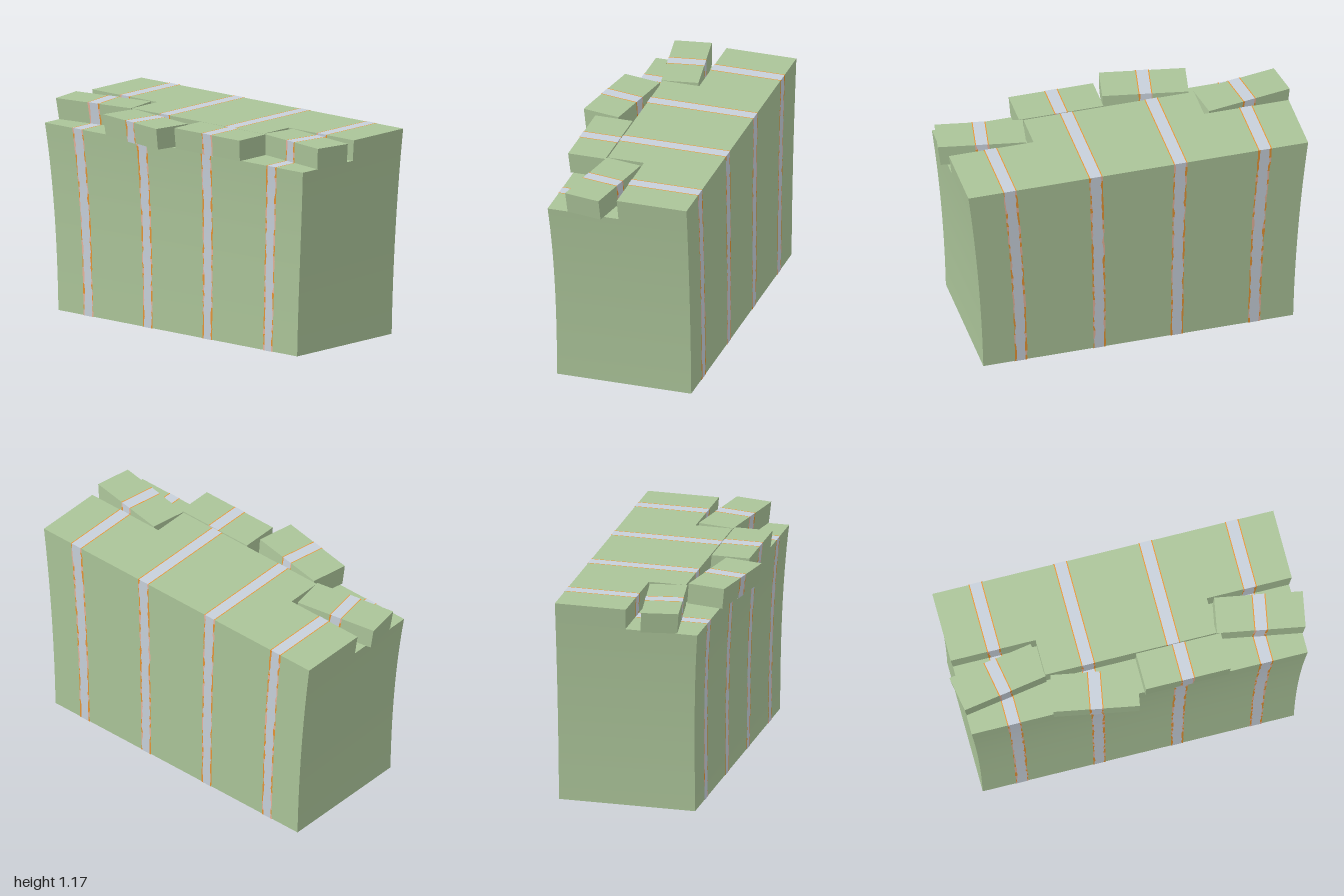
import * as THREE from 'three';
import { mergeVertices } from 'three/addons/utils/BufferGeometryUtils.js';

const TOP = 1.165, LEDGE = 1.047, BACK = -0.46, FRONT = 0.358, HALF = 0.966;
const PAINT = 0.0015; // how far painted bands stand off the surface

// Flare: everything widens towards the top, away from the flat back
function flarePoint(x, y, z) {
  const u = Math.max(0, y) / TOP;
  return [
    x * (0.912 + 0.028 * u + 0.06 * u * u),
    y,
    BACK + (z - BACK) * (0.946 + 0.054 * u * u * u),
  ];
}

function flare(geometry) {
  const p = geometry.attributes.position;
  for (let i = 0; i < p.count; i++) p.setXYZ(i, ...flarePoint(p.getX(i), p.getY(i), p.getZ(i)));
  geometry.computeVertexNormals();
  return geometry;
}

// Small seeded generator for the ragged stripe edges
let seed = 7;
function rand() {
  seed = (seed * 16807) % 2147483647;
  return seed / 2147483647;
}

// Wraps a painted band round a closed (z, y) path: ragged edges on upright faces,
// thin straight ones on top, none underneath.
// place() maps local x, y, z into the unflared model
function stripe(name, path, materials, place) {
  const sets = [[], [], []]; // middle, orange edge, pink edge
  const quad = (set, p, q, n, x0, x1, x2, x3) => {
    const at = (x, s) => flarePoint(...place(x, s[1] + n[1] * PAINT, s[0] + n[0] * PAINT));
    const a = at(x0, p), b = at(x1, p), c = at(x2, q), d = at(x3, q);
    set.push(...a, ...d, ...c, ...a, ...c, ...b);
  };
  path.forEach((start, i) => {
    const end = path[(i + 1) % path.length];
    const dz = end[0] - start[0], dy = end[1] - start[1];
    const length = Math.hypot(dz, dy);
    const n = [-dy / length, dz / length];
    const upright = Math.abs(dy) > Math.abs(dz);
    const underneath = !upright && dz < 0;
    const steps = Math.max(1, Math.round(length / 0.03));
    const edges = () => {
      if (underneath) return [-0.036, -0.036, 0.036, 0.036];
      if (!upright) return [-0.038, -0.0325, 0.0325, 0.038];
      const jitter = (size) => (rand() - 0.5) * size;
      return [-0.0385 + jitter(0.005), -0.029 + jitter(0.01), 0.029 + jitter(0.01), 0.0385 + jitter(0.005)];
    };
    // Ends run on slightly so that neighbouring faces of the band meet
    const point = (k) => {
      const t = k / steps + (k === 0 ? -PAINT : k === steps ? PAINT : 0) / length;
      return [start[0] + dz * t, start[1] + dy * t];
    };
    let e = edges();
    for (let k = 0; k < steps; k++) {
      const p = point(k), q = point(k + 1), f = edges();
      const edgeSet = () => sets[!upright || rand() < 0.62 ? 1 : 2];
      quad(sets[0], p, q, n, e[1], e[2], f[2], f[1]);
      if (!underneath) {
        quad(edgeSet(), p, q, n, e[0], e[1], f[1], f[0]);
        quad(edgeSet(), p, q, n, e[2], e[3], f[3], f[2]);
      }
      e = f;
    }
  });
  const group = new THREE.Group();
  group.name = name;
  ['stripeMiddle', 'stripeOrangeEdge', 'stripePinkEdge'].forEach((part, i) => {
    if (!sets[i].length) return;
    const g = new THREE.BufferGeometry();
    g.setAttribute('position', new THREE.Float32BufferAttribute(sets[i], 3));
    g.computeVertexNormals();
    const mesh = new THREE.Mesh(g, materials[i]);
    mesh.name = part;
    group.add(mesh);
  });
  return group;
}

export function createModel() {
  seed = 7;
  const material = (name, color, side = THREE.FrontSide) => {
    const m = new THREE.MeshStandardMaterial({ color, side });
    m.name = name;
    return m;
  };
  const green = material('sage green', 0xabc499);
  const bands = [
    material('pale grey', 0xc7d0da, THREE.DoubleSide),
    material('orange', 0xf09a36, THREE.DoubleSide),
    material('dusty pink', 0xe8b49c, THREE.DoubleSide),
  ];

  const model = new THREE.Group();
  model.name = 'stripedWall';
  const add = (name, geometry) => {
    const mesh = new THREE.Mesh(geometry, green);
    mesh.name = name;
    model.add(mesh);
  };

  // Main body up to the ledge
  const body = new THREE.BoxGeometry(2 * HALF, LEDGE, FRONT - BACK, 1, 16, 1);
  body.translate(-0.003, LEDGE / 2, (FRONT + BACK) / 2);
  add('body', flare(mergeVertices(body)));

  // Raised top with a forward-reaching middle (shape y is -z)
  const plan = new THREE.Shape([
    [-HALF, 0.46], [-HALF, 0.057], [-0.485, 0.057], [-0.485, -0.152],
    [0.485, -0.152], [0.485, 0.057], [HALF, 0.057], [HALF, 0.46],
  ].map(([x, y]) => new THREE.Vector2(x, y)));
  const raised = new THREE.ExtrudeGeometry(plan, { depth: TOP - LEDGE, bevelEnabled: false });
  raised.rotateX(-Math.PI / 2).translate(-0.003, LEDGE, 0);
  add('raisedTop', flare(raised));

  // Bands round the body, following the step at the ledge
  [[-0.725, -0.057], [-0.244, 0.152], [0.238, 0.152], [0.727, -0.057]].forEach(([x, step], i) => {
    const path = [[BACK, 0], [BACK, TOP], [step, TOP], [step, LEDGE], [FRONT, LEDGE], [FRONT, 0]];
    model.add(stripe('bodyStripe' + (i + 1), path, bands, (lx, y, z) => [x + lx, y, z]));
  });

  // Loose blocks on the ledge: centre x, centre z, length, depth, turn
  [
    [-0.744, 0.1, 0.487, 0.206, 0.167],
    [-0.246, 0.31, 0.476, 0.216, -0.18],
    [0.265, 0.266, 0.48, 0.215, 0],
    [0.743, 0.095, 0.487, 0.208, -0.176],
  ].forEach(([x, z, length, depth, turn], i) => {
    const height = TOP - LEDGE;
    const block = new THREE.BoxGeometry(length, height, depth);
    block.rotateY(turn).translate(x, LEDGE + height / 2 + 0.001, z);
    add('looseBlock' + (i + 1), flare(block));

    const h = depth / 2, c = Math.cos(turn), s = Math.sin(turn);
    const path = [[-h, LEDGE], [-h, TOP + 0.001], [h, TOP + 0.001], [h, LEDGE]];
    model.add(stripe('blockStripe' + (i + 1), path, bands,
      (lx, y, lz) => [x + lx * c + lz * s, y, z - lx * s + lz * c]));
  });

  return model;
}
